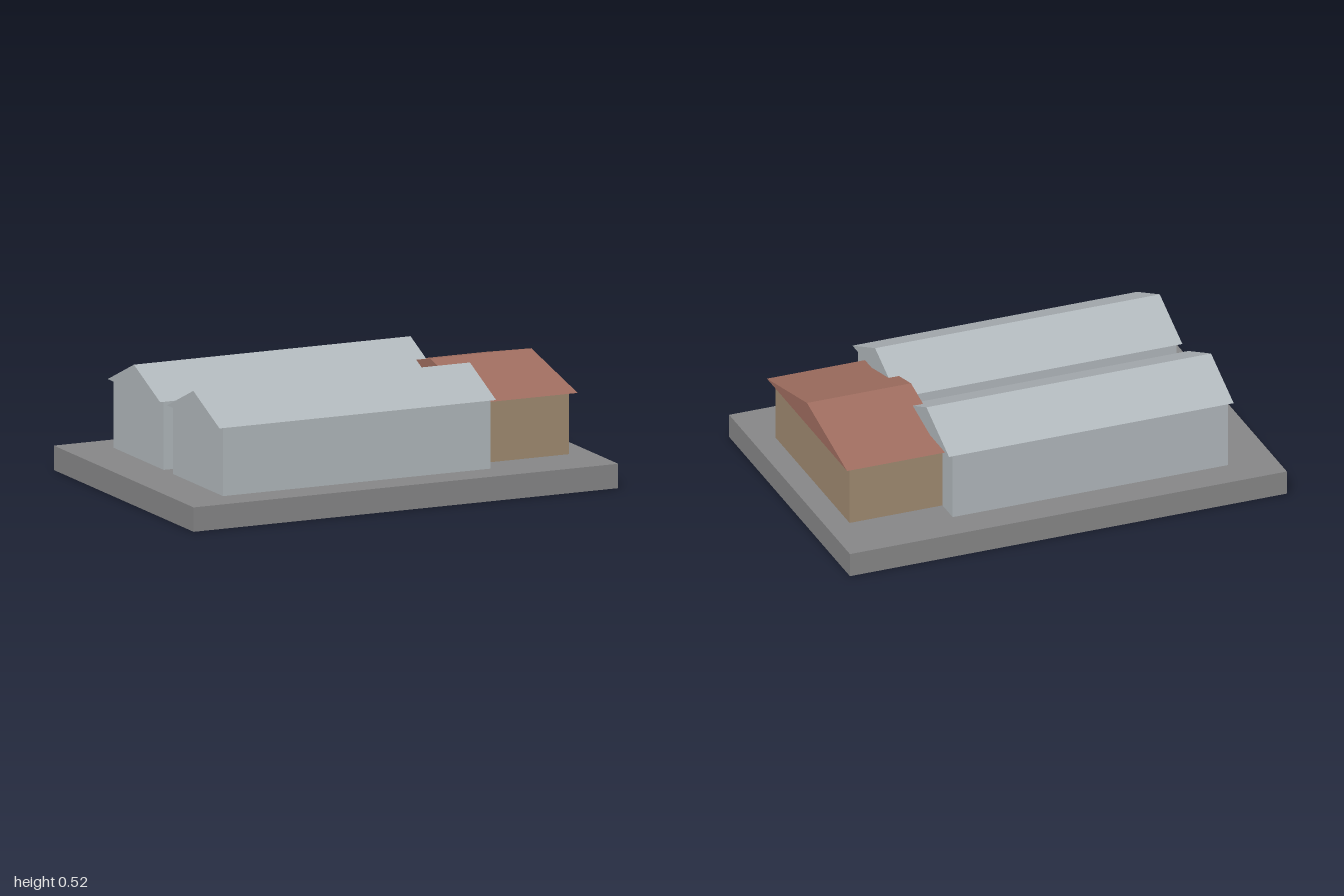
import * as THREE from 'three';

const material = (name, color) => {
  const m = new THREE.MeshStandardMaterial({ color });
  m.name = name;
  return m;
};

export function createModel() {
  const model = new THREE.Group();
  model.name = 'buildingBlock';

  const concrete = material('concrete grey', 0x868687);
  const paleGrey = material('pale blue grey', 0xb0b7bb);
  const tan = material('tan wall', 0x9f8a71);
  const terracotta = material('terracotta roof', 0x9f6d5f);

  // Box given by its extents along each axis
  function block(name, mat, x0, x1, y0, y1, z0, z1, parent) {
    const mesh = new THREE.Mesh(new THREE.BoxGeometry(x1 - x0, y1 - y0, z1 - z0), mat);
    mesh.position.set((x0 + x1) / 2, (y0 + y1) / 2, (z0 + z1) / 2);
    mesh.name = name;
    parent.add(mesh);
  }

  // Closed triangular roof with its ridge along x
  function gableRoof(name, mat, x0, x1, eave, ridge, z, half, parent) {
    const shape = new THREE.Shape();
    shape.moveTo(-half, eave);
    shape.lineTo(half, eave);
    shape.lineTo(0, ridge);
    shape.closePath();
    const geo = new THREE.ExtrudeGeometry(shape, { depth: x1 - x0, bevelEnabled: false });
    geo.rotateY(Math.PI / 2);
    geo.translate(x0, 0, z);
    const mesh = new THREE.Mesh(geo, mat);
    mesh.name = name;
    parent.add(mesh);
  }

  // Ground slab
  block('baseSlab', concrete, -1, 1, 0, 0.106, -0.683, 0.683, model);

  // Two long parallel halls
  for (const [name, z] of [['frontHall', 0.29], ['rearHall', -0.29]]) {
    const hall = new THREE.Group();
    hall.name = name;
    block('hallWalls', paleGrey, -0.79, 0.47, 0.106, 0.404, z - 0.245, z + 0.245, hall);
    gableRoof('hallRoof', paleGrey, -0.812, 0.491, 0.404, 0.517, z, 0.256, hall);
    model.add(hall);
  }

  // Cross building joining the hall ends
  const house = new THREE.Group();
  house.name = 'endBuilding';
  block('houseWalls', tan, 0.47, 0.895, 0.106, 0.376, -0.42, 0.42, house);
  gableRoof('houseRoof', terracotta, 0.444, 0.92, 0.376, 0.481, 0, 0.453, house);
  model.add(house);

  return model;
}
